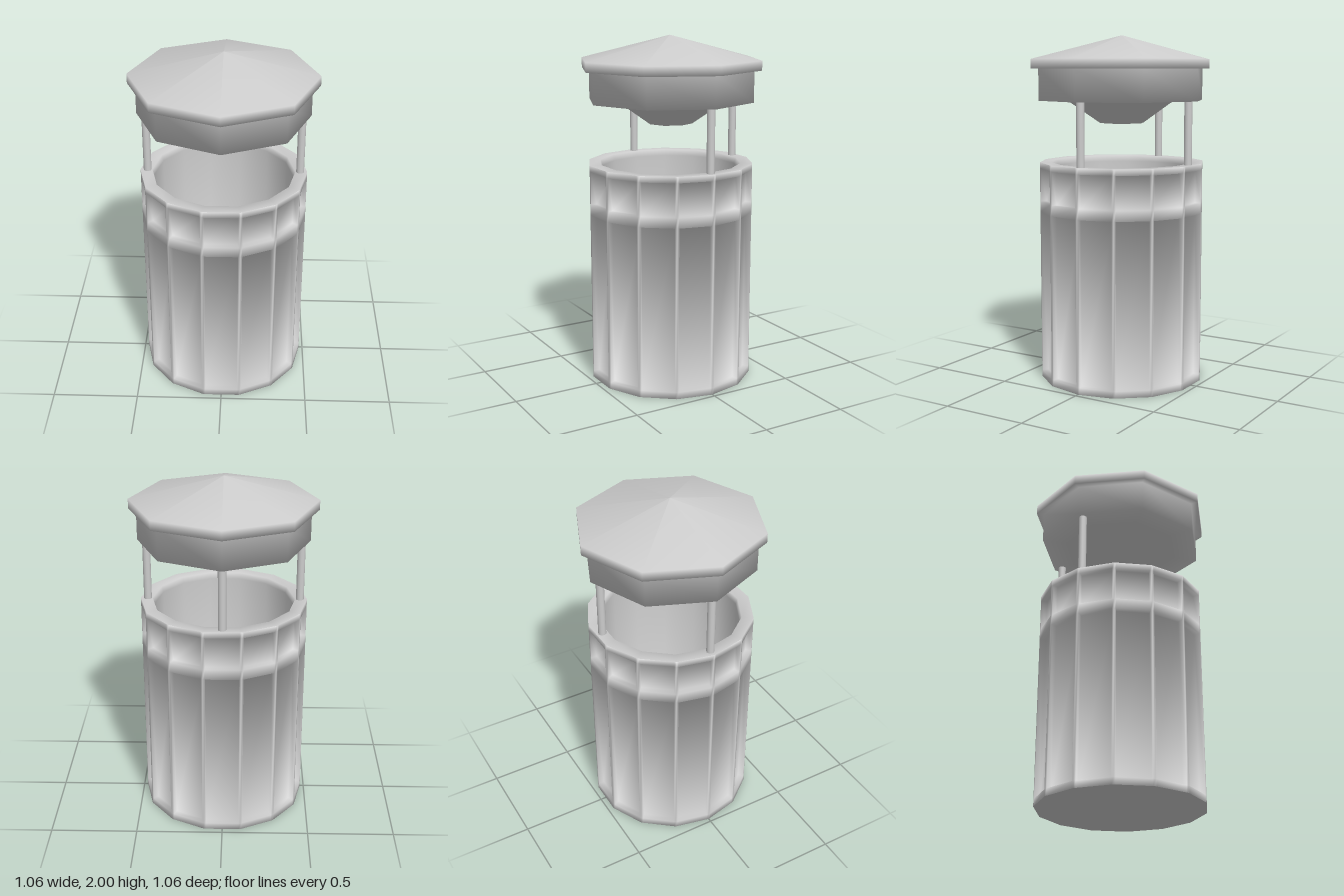
import * as THREE from 'three';

const SIDES = 14;
const STEP = (Math.PI * 2) / SIDES;
const RADIUS = 0.478;

const points = (list) => list.map(([x, y]) => new THREE.Vector2(x, y));

// One side of the bin: a flat frame with two recessed panels, facing +z
function sideGeometry() {
  const half = RADIUS * Math.sin(STEP / 2);
  const face = RADIUS * Math.cos(STEP / 2);
  const depth = 0.035;
  const us = [-half, -half + 0.012, half - 0.012, half];
  const ys = [0, 0.04, 0.99, 1.05, 1.24, 1.275];
  const tilt = Math.tan(STEP / 2);
  const position = [], normal = [];

  // Smooth normals lean into the panels and round off the rims
  const corner = (i, j, sunk = false) => {
    const inner = i === 1 || i === 2;
    const lean = sunk ? 0.9 : 0.5;
    const nx = inner ? (i === 1 ? lean : -lean) : (i === 0 ? -tilt : tilt);
    let ny = inner ? (j % 2 ? lean : -lean) : 0;
    if (j === 0) ny = -0.6;
    if (j === 5) ny = 1;
    return {
      p: [us[i], ys[j], face - (sunk ? depth : 0)],
      n: new THREE.Vector3(nx, ny, 1).normalize().toArray(),
    };
  };
  const quad = (a, b, c, d) => {
    for (const v of [a, b, c, a, c, d]) {
      position.push(...v.p);
      normal.push(...v.n);
    }
  };

  for (let j = 0; j < 5; j++) {
    for (let i = 0; i < 3; i++) {
      const ring = [[i, j], [i + 1, j], [i + 1, j + 1], [i, j + 1]];
      const outer = ring.map(([a, b]) => corner(a, b));
      if (i !== 1 || j % 2 === 0) {
        quad(...outer);
        continue;
      }
      // Recess: four walls and a floor
      const floor = ring.map(([a, b]) => corner(a, b, true));
      for (let k = 0; k < 4; k++) {
        const m = (k + 1) % 4;
        quad(outer[k], outer[m], floor[m], floor[k]);
      }
      quad(...floor);
    }
  }
  const geometry = new THREE.BufferGeometry();
  geometry.setAttribute('position', new THREE.Float32BufferAttribute(position, 3));
  geometry.setAttribute('normal', new THREE.Float32BufferAttribute(normal, 3));
  return geometry;
}

export function createModel() {
  const model = new THREE.Group();
  model.name = 'canopyBin';
  const grey = new THREE.MeshStandardMaterial({ color: 0xcccccc });
  grey.name = 'lightGrey';

  const add = (name, geometry, parent = model) => {
    const mesh = new THREE.Mesh(geometry, grey);
    mesh.name = name;
    parent.add(mesh);
    return mesh;
  };

  // Ribbed body
  const body = new THREE.Group();
  body.name = 'body';
  model.add(body);
  const side = sideGeometry();
  for (let i = 0; i < SIDES; i++) {
    add('sidePanel', side, body).rotation.y = i * STEP;
  }

  // Rim and hollow inside, then the underside
  add('innerLining', new THREE.LatheGeometry(points([
    [RADIUS, 1.275], [0.41, 1.275], [0.4, 1.24], [0.4, 0.06], [0, 0.06],
  ]), SIDES, STEP / 2), body);
  add('base', new THREE.LatheGeometry(points([[0, 0], [RADIUS, 0]]), SIDES, STEP / 2), body);

  // Three posts: left, right and back
  for (const [x, z] of [[-0.437, 0], [0.437, 0], [0, -0.432]]) {
    add('post', new THREE.CylinderGeometry(0.0225, 0.0225, 0.38, 12)).position.set(x, 1.45, z);
  }

  // Eight-sided canopy with a skirt and a funnel beneath
  add('canopy', new THREE.LatheGeometry(points([
    [0, 1.5], [0.13, 1.5], [0.32, 1.63], [0.487, 1.63], [0.487, 1.81],
    [0.53, 1.81], [0.53, 1.865], [0.001, 2], [0, 2],
  ]), 8));

  return model;
}
